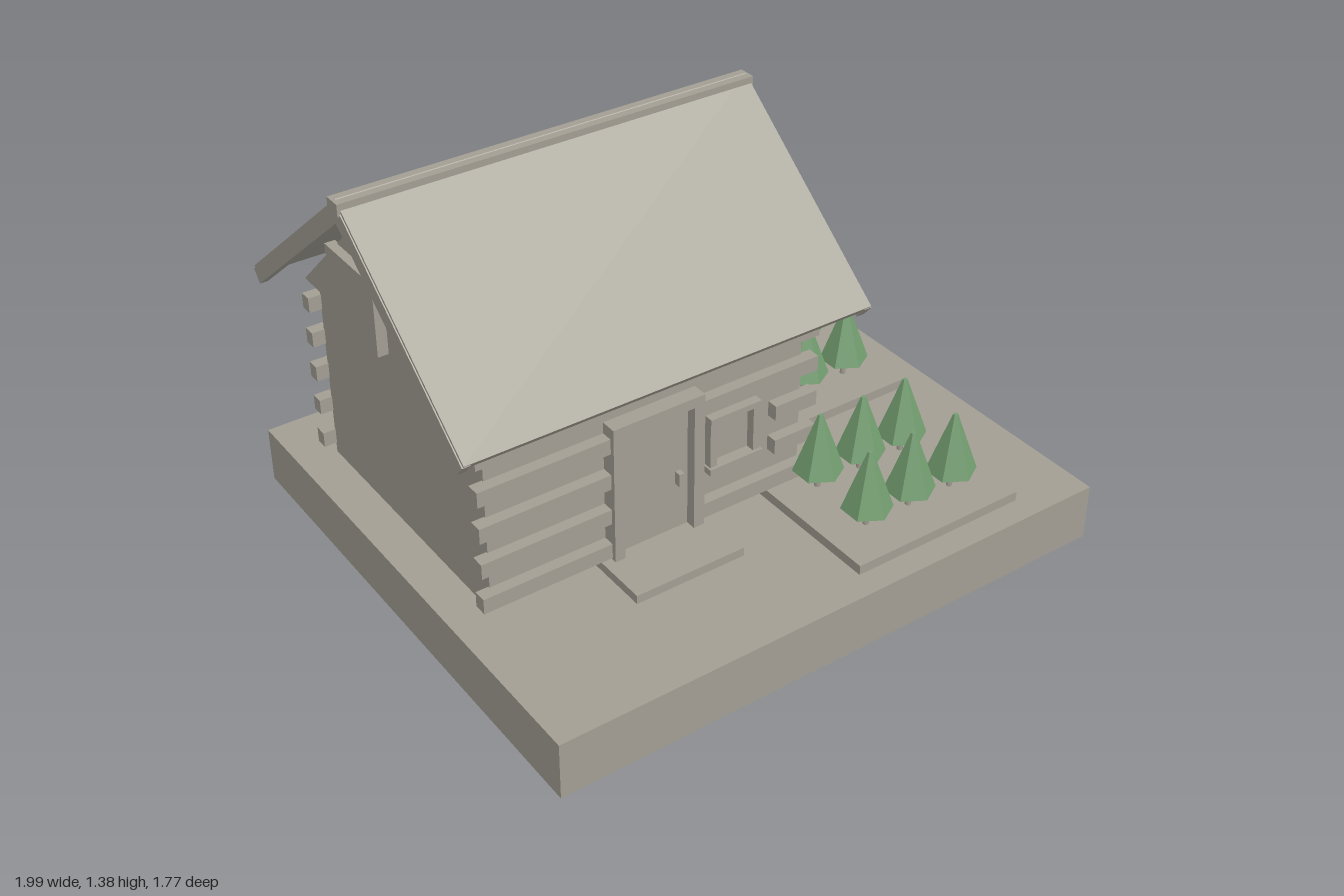
import * as THREE from 'three';

export function createModel() {
  const model = new THREE.Group();
  const stone = new THREE.MeshStandardMaterial({ color: 0xa29e93 });
  stone.name = 'weathered grey';
  const green = new THREE.MeshStandardMaterial({ color: 0x739d70, flatShading: true });
  green.name = 'tree green';

  // Box given by its extents along each axis
  function box(name, [x0, x1], [y0, y1], [z0, z1], parent = model) {
    const m = new THREE.Mesh(new THREE.BoxGeometry(x1 - x0, y1 - y0, z1 - z0), stone);
    m.position.set((x0 + x1) / 2, (y0 + y1) / 2, (z0 + z1) / 2);
    m.name = name;
    parent.add(m);
    return m;
  }

  const ground = 0.195;
  const houseX = -0.295; // middle of the cabin across
  const ridgeZ = -0.168; // middle of the cabin in depth

  // Ground slab and cabin walls
  box('groundSlab', [-0.985, 0.99], [0, ground], [-0.885, 0.885]);
  box('walls', [-0.853, 0.265], [ground, 0.836], [-0.65, 0.314]);

  // Log courses; the front ones stop at the door and the window
  const doorL = -0.45, doorR = -0.135, logL = -0.896, logR = 0.302;
  for (let i = 0; i < 5; i++) {
    const y = 0.258 + i * 0.126;
    const h = [y - 0.026, y + 0.026];
    box('backLog', [logL, logR], h, [-0.687, -0.645]);
    const front = [0.308, 0.352];
    if (i === 4) {
      box('frontLog', [logL, logR], h, front);
    } else {
      box('frontLogLeft', [logL, doorL], h, front);
      box('frontLogRight', [i === 1 || i === 2 ? 0.145 : doorR, logR], h, front);
    }
  }

  // Door with frame, handle and step
  const frameZ = [0.305, 0.367];
  box('doorFrameSide', [-0.455, -0.42], [ground, 0.7], frameZ);
  box('doorFrameSide', [-0.17, -0.132], [ground, 0.7], frameZ);
  box('doorFrameTop', [-0.42, -0.17], [0.665, 0.7], frameZ);
  box('door', [-0.42, -0.17], [ground, 0.665], [0.305, 0.332]);
  box('doorHandle', [-0.215, -0.197], [0.39, 0.435], [0.33, 0.355]);
  box('doorStep', [-0.49, -0.102], [ground, 0.225], [0.305, 0.53]);

  // Window
  box('windowPane', [-0.075, 0.06], [0.41, 0.57], [0.31, 0.322]);
  box('windowSill', [-0.107, 0.09], [0.388, 0.41], [0.31, 0.362]);
  box('windowLintel', [-0.102, 0.085], [0.568, 0.588], [0.31, 0.358]);
  for (const x of [-0.1, 0.06]) box('windowJamb', [x, x + 0.025], [0.41, 0.568], [0.31, 0.352]);

  // Gable panels with a timber cross, mirrored on both ends
  const tri = new THREE.Shape([
    new THREE.Vector2(-0.518, 0.836),
    new THREE.Vector2(0.518, 0.836),
    new THREE.Vector2(0, 1.325),
  ]);
  const gableGeo = new THREE.ExtrudeGeometry(tri, { depth: 0.03, bevelEnabled: false });
  for (const side of [0, 1]) {
    const end = new THREE.Group();
    end.name = side ? 'leftGableEnd' : 'rightGableEnd';
    end.position.set(houseX, 0, ridgeZ);
    end.rotation.y = side ? Math.PI : 0;
    const gable = new THREE.Mesh(gableGeo, stone);
    gable.name = 'gablePanel';
    gable.rotation.y = Math.PI / 2;
    gable.position.x = 0.555;
    end.add(gable);
    box('gablePost', [0.58, 0.62], [0.845, 1.31], [-0.018, 0.018], end);
    box('gableCrossbar', [0.58, 0.615], [1.045, 1.08], [-0.281, 0.281], end);
    model.add(end);
  }

  // Roof: two pitched slopes with edge rafters, and a ridge beam
  const pitch = Math.atan2(0.514, 0.635);
  const slopeLength = Math.hypot(0.514, 0.635);
  for (const side of [0, 1]) {
    const turn = new THREE.Group();
    turn.name = side ? 'backRoof' : 'frontRoof';
    turn.position.set(houseX, 1.376, ridgeZ);
    turn.rotation.y = side ? Math.PI : 0;
    const slope = new THREE.Group();
    slope.name = 'roofSlope';
    slope.rotation.x = pitch;
    box('roofPanel', [-0.695, 0.695], [-0.03, 0], [0, slopeLength], slope);
    for (const s of [-1, 1]) {
      const a = s * 0.672, b = s * 0.699;
      box('edgeRafter', [Math.min(a, b), Math.max(a, b)], [-0.058, -0.008], [0.02, slopeLength + 0.002], slope);
    }
    turn.add(slope);
    model.add(turn);
  }
  box('ridgeBeam', [-1, 0.407], [1.335, 1.374], [ridgeZ - 0.029, ridgeZ + 0.029]);

  // Two garden plots, each with six trees
  const crownGeo = new THREE.CylinderGeometry(0.008, 0.082, 0.205, 6);
  const trunkGeo = new THREE.CylinderGeometry(0.01, 0.01, 0.09, 6);
  function garden(name, x0, z0) {
    const g = new THREE.Group();
    g.name = name;
    g.position.set(x0, 0, z0);
    box('gardenPlot', [0, 0.63], [ground, 0.228], [0, 0.528], g);
    for (let i = 0; i < 3; i++) {
      for (const z of [0.146, 0.38]) {
        const tree = new THREE.Group();
        tree.name = 'tree';
        tree.position.set(0.145 + i * 0.169, 0, z);
        const crown = new THREE.Mesh(crownGeo, green);
        crown.name = 'treeCrown';
        crown.position.y = 0.394;
        const trunk = new THREE.Mesh(trunkGeo, stone);
        trunk.name = 'treeTrunk';
        trunk.position.y = 0.265;
        tree.add(crown, trunk);
        g.add(tree);
      }
    }
    model.add(g);
  }
  garden('frontGarden', 0.122, 0.272);
  garden('backGarden', 0.253, -0.408);

  return model;
}
